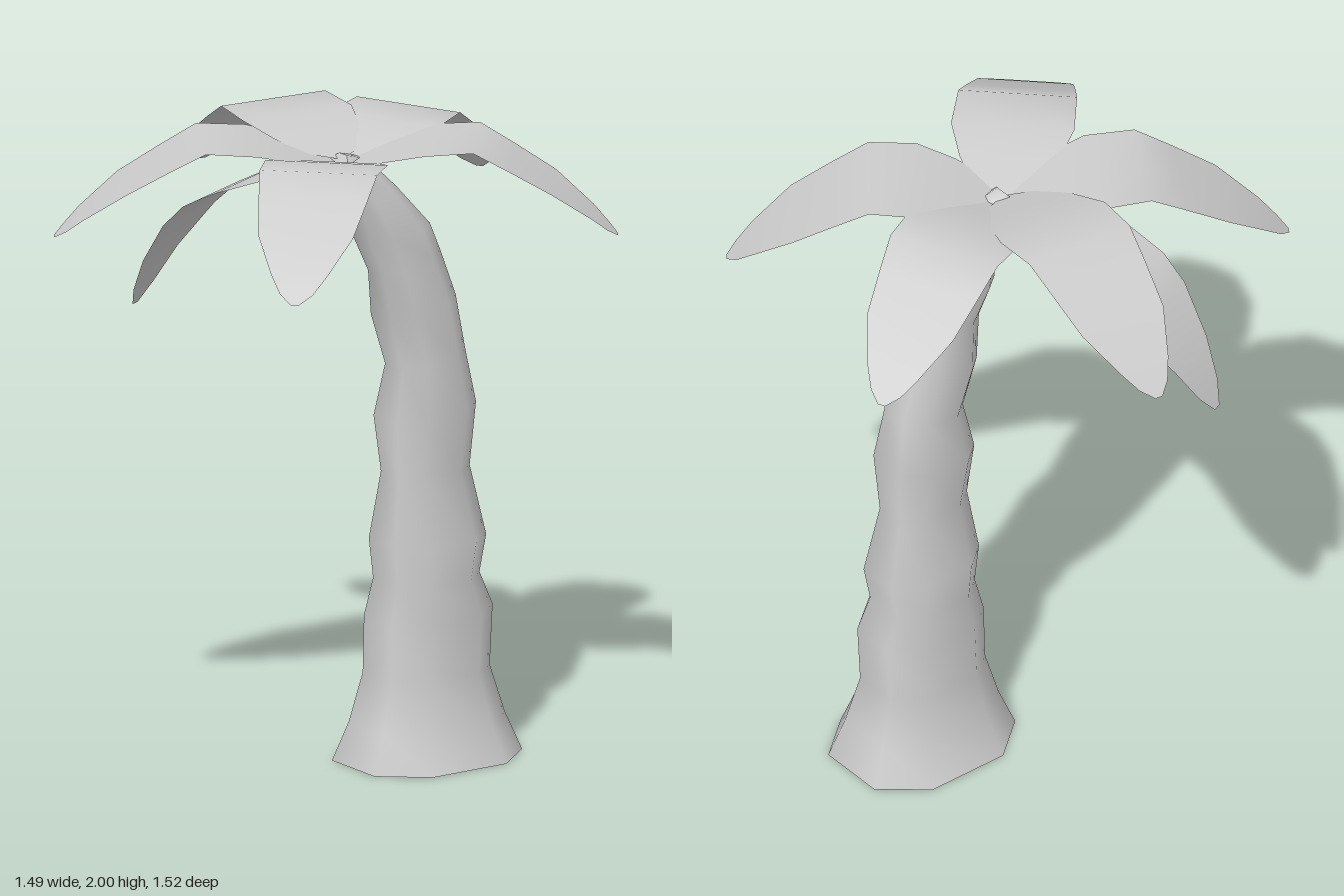
import * as THREE from 'three';

const material = new THREE.MeshStandardMaterial({ color: 0xcccccc });
const leafMaterial = new THREE.MeshStandardMaterial({ color: 0xcccccc, side: THREE.DoubleSide });

function makeMesh(name, positions, indices, mat) {
  const geometry = new THREE.BufferGeometry();
  geometry.setAttribute('position', new THREE.Float32BufferAttribute(positions, 3));
  geometry.setIndex(indices);
  geometry.computeVertexNormals();
  const mesh = new THREE.Mesh(geometry, mat);
  mesh.name = name;
  return mesh;
}

// Eight-sided trunk outline, running from +z towards +x
const OUTLINE = [[-0.5, 1], [0.5, 1], [1, 0.5], [1, -0.5], [0.5, -1], [-0.5, -1], [-1, -0.5], [-1, 0.5]];

// Trunk rings: left x, right x, front z, front y, back z, back y
const RINGS = [
  [-0.09, 0.355, -0.035, 0, -0.58, 0],
  [-0.045, 0.315, -0.08, 0.12, -0.53, 0.12],
  [-0.015, 0.28, -0.122, 0.27, -0.487, 0.27],
  [-0.012, 0.28, -0.125, 0.45, -0.497, 0.46],
  [0.005, 0.262, -0.153, 0.565, -0.455, 0.565],
  [-0.003, 0.27, -0.14, 0.69, -0.477, 0.68],
  [0.038, 0.23, -0.17, 0.9, -0.43, 0.9],
  [0.01, 0.257, -0.153, 1.075, -0.444, 1.1],
  [0.04, 0.227, -0.185, 1.235, -0.415, 1.265],
  [0.025, 0.24, -0.138, 1.395, -0.375, 1.445],
  [0.055, 0.217, -0.116, 1.54, -0.325, 1.59],
  [0.042, 0.225, -0.063, 1.66, -0.285, 1.68],
  [0.075, 0.2, -0.03, 1.79, -0.17, 1.81],
  [0.085, 0.18, 0.01, 1.865, -0.07, 1.91],
  [0.09, 0.17, 0.05, 1.87, 0.0, 1.93],
];

function ringPoints([x0, x1, zf, yf, zb, yb]) {
  return OUTLINE.flatMap(([u, v]) => {
    const t = (1 - v) / 2;
    return [(x0 + x1) / 2 + u * (x1 - x0) / 2, yf + (yb - yf) * t, zf + (zb - zf) * t];
  });
}

function createTrunk() {
  const group = new THREE.Group();
  group.name = 'trunk';
  const n = OUTLINE.length;
  const indices = [];
  for (let i = 0; i < RINGS.length - 1; i++) {
    for (let k = 0; k < n; k++) {
      const a = i * n + k, b = i * n + (k + 1) % n;
      indices.push(a, b, a + n, b, b + n, a + n);
    }
  }
  group.add(makeMesh('trunkBark', RINGS.flatMap(ringPoints), indices, material));
  // End caps, as fans
  const bottom = [], top = [];
  for (let k = 1; k < n - 1; k++) {
    bottom.push(0, k + 1, k);
    top.push(0, k, k + 1);
  }
  group.add(makeMesh('trunkBase', ringPoints(RINGS[0]), bottom, material));
  group.add(makeMesh('trunkTop', ringPoints(RINGS[RINGS.length - 1]), top, material));
  return group;
}

// Leaf sections: distance from the crown, height, half width
const ARCHED = [
  [0, 1.9, 0.015], [0.05, 1.915, 0.1], [0.15, 1.945, 0.15], [0.27, 1.975, 0.187], [0.42, 1.985, 0.18],
  [0.53, 1.925, 0.165], [0.66, 1.85, 0.145], [0.78, 1.76, 0.085], [0.83, 1.715, 0.05], [0.86, 1.69, 0.012],
];
const DROOPING = [
  [0, 1.87, 0.015], [0.05, 1.87, 0.09], [0.2, 1.85, 0.16], [0.35, 1.795, 0.175], [0.46, 1.74, 0.17],
  [0.54, 1.665, 0.155], [0.64, 1.53, 0.105], [0.7, 1.42, 0.06], [0.73, 1.36, 0.015],
];

// A thin leaf following a profile from the crown to its tip
function createLeaf(name, profile, tipX, tipZ, lift = 0) {
  const baseX = 0.12, baseZ = 0;
  const length = Math.hypot(tipX - baseX, tipZ - baseZ);
  const dx = (tipX - baseX) / length, dz = (tipZ - baseZ) / length;
  const scale = length / profile[profile.length - 1][0];
  const positions = [], indices = [];
  profile.forEach(([s, y, w], i) => {
    for (const side of [-1, 0, 1]) {
      positions.push(baseX + dx * s * scale - dz * w * side, y + lift, baseZ + dz * s * scale + dx * w * side);
    }
    if (i === 0) return;
    for (let k = 0; k < 2; k++) {
      const a = (i - 1) * 3 + k;
      indices.push(a, a + 1, a + 3, a + 1, a + 4, a + 3);
    }
  });
  return makeMesh(name, positions, indices, leafMaterial);
}

export function createModel() {
  const model = new THREE.Group();
  model.name = 'palmTree';
  model.add(createTrunk());

  const leaves = new THREE.Group();
  leaves.name = 'leaves';
  leaves.add(
    createLeaf('rightLeaf', ARCHED, -0.74, -0.09, 0.015),
    createLeaf('backRightLeaf', ARCHED, -0.23, -0.755),
    createLeaf('backLeftLeaf', ARCHED, 0.64, -0.655),
    createLeaf('frontLeftLeaf', ARCHED, 0.735, 0.605),
    createLeaf('frontRightLeaf', ARCHED, -0.32, 0.75),
    createLeaf('droopingLeaf', DROOPING, -0.535, 0.3),
  );
  model.add(leaves);
  return model;
}
